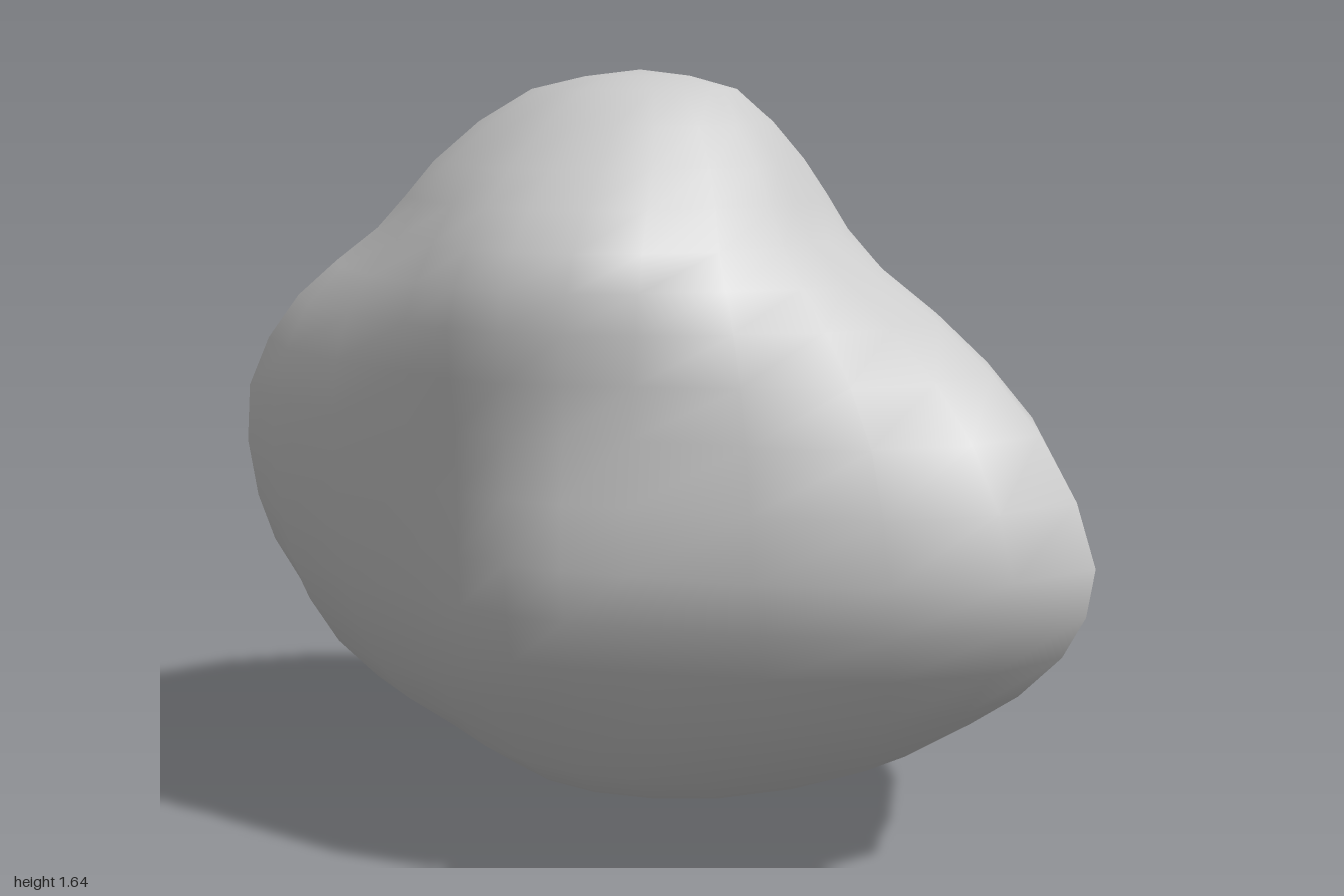
import * as THREE from 'three';

// Directions of the ribs in degrees, from the left (+x) round by the front (+z)
const ANGLES = [0, 25, 63, 90, 116, 150, 174, 205, 240, 270, 300, 330];

// Level sections of the boulder: height, depth of the centre, radius at each rib
const SECTIONS = [
  [0.02, -0.36, [0.18, 0.19, 0.19, 0.20, 0.20, 0.19, 0.18, 0.19, 0.20, 0.20, 0.22, 0.20]],
  [0.14, -0.20, [0.42, 0.46, 0.53, 0.57, 0.56, 0.50, 0.43, 0.45, 0.49, 0.49, 0.49, 0.46]],
  [0.30, 0.00, [0.69, 0.67, 0.55, 0.53, 0.56, 0.69, 0.70, 0.71, 0.71, 0.70, 0.68, 0.69]],
  [0.50, 0.10, [0.92, 0.77, 0.57, 0.57, 0.58, 0.77, 0.89, 0.84, 0.81, 0.81, 0.77, 0.79]],
  [0.70, 0.15, [1.00, 0.80, 0.56, 0.54, 0.56, 0.79, 0.98, 0.88, 0.83, 0.83, 0.77, 0.81]],
  [0.95, 0.15, [0.88, 0.74, 0.50, 0.53, 0.57, 0.80, 0.99, 0.88, 0.83, 0.79, 0.70, 0.73]],
  [1.15, 0.12, [0.65, 0.58, 0.53, 0.58, 0.59, 0.74, 0.86, 0.82, 0.75, 0.66, 0.56, 0.55]],
  [1.30, 0.10, [0.40, 0.43, 0.52, 0.55, 0.54, 0.60, 0.66, 0.67, 0.63, 0.57, 0.45, 0.40]],
  [1.45, 0.08, [0.30, 0.33, 0.39, 0.43, 0.45, 0.49, 0.49, 0.50, 0.48, 0.45, 0.34, 0.29]],
  [1.60, 0.10, [0.17, 0.18, 0.20, 0.22, 0.24, 0.27, 0.27, 0.26, 0.21, 0.17, 0.16, 0.16]],
];
const BOTTOM = new THREE.Vector3(0, 0, -0.36);
const TOP = new THREE.Vector3(-0.05, 1.64, 0.1);
const AROUND = 24, ROWS = 22;

function boulderGeometry() {
  // Smooth ribs from the underside to the crown
  const ribs = ANGLES.map((degrees, k) => {
    const a = THREE.MathUtils.degToRad(degrees);
    const points = SECTIONS.map(([y, cz, r]) =>
      new THREE.Vector3(r[k] * Math.cos(a), y, cz + r[k] * Math.sin(a)));
    return new THREE.CatmullRomCurve3([BOTTOM, ...points, TOP]);
  });

  // Closed loops across the ribs, with one vertex at each end
  const positions = [...BOTTOM.toArray()];
  for (let j = 1; j < ROWS; j++) {
    const loop = new THREE.CatmullRomCurve3(ribs.map((rib) => rib.getPoint(j / ROWS)), true);
    for (let i = 0; i < AROUND; i++) positions.push(...loop.getPoint(i / AROUND).toArray());
  }
  positions.push(...TOP.toArray());

  const last = positions.length / 3 - 1;
  const id = (j, i) => 1 + (j - 1) * AROUND + (i % AROUND);
  const index = [];
  for (let i = 0; i < AROUND; i++) {
    index.push(0, id(1, i), id(1, i + 1));
    for (let j = 1; j < ROWS - 1; j++) {
      const a = id(j, i), b = id(j, i + 1), c = id(j + 1, i), d = id(j + 1, i + 1);
      index.push(a, c, b, b, c, d);
    }
    index.push(id(ROWS - 1, i), last, id(ROWS - 1, i + 1));
  }

  const geometry = new THREE.BufferGeometry();
  geometry.setAttribute('position', new THREE.Float32BufferAttribute(positions, 3));
  geometry.setIndex(index);
  geometry.computeVertexNormals();
  return geometry;
}

export function createModel() {
  const model = new THREE.Group();
  model.name = 'rock';
  const boulder = new THREE.Mesh(
    boulderGeometry(),
    new THREE.MeshStandardMaterial({ color: 0xcccccc }),
  );
  boulder.name = 'boulder';
  model.add(boulder);
  return model;
}
